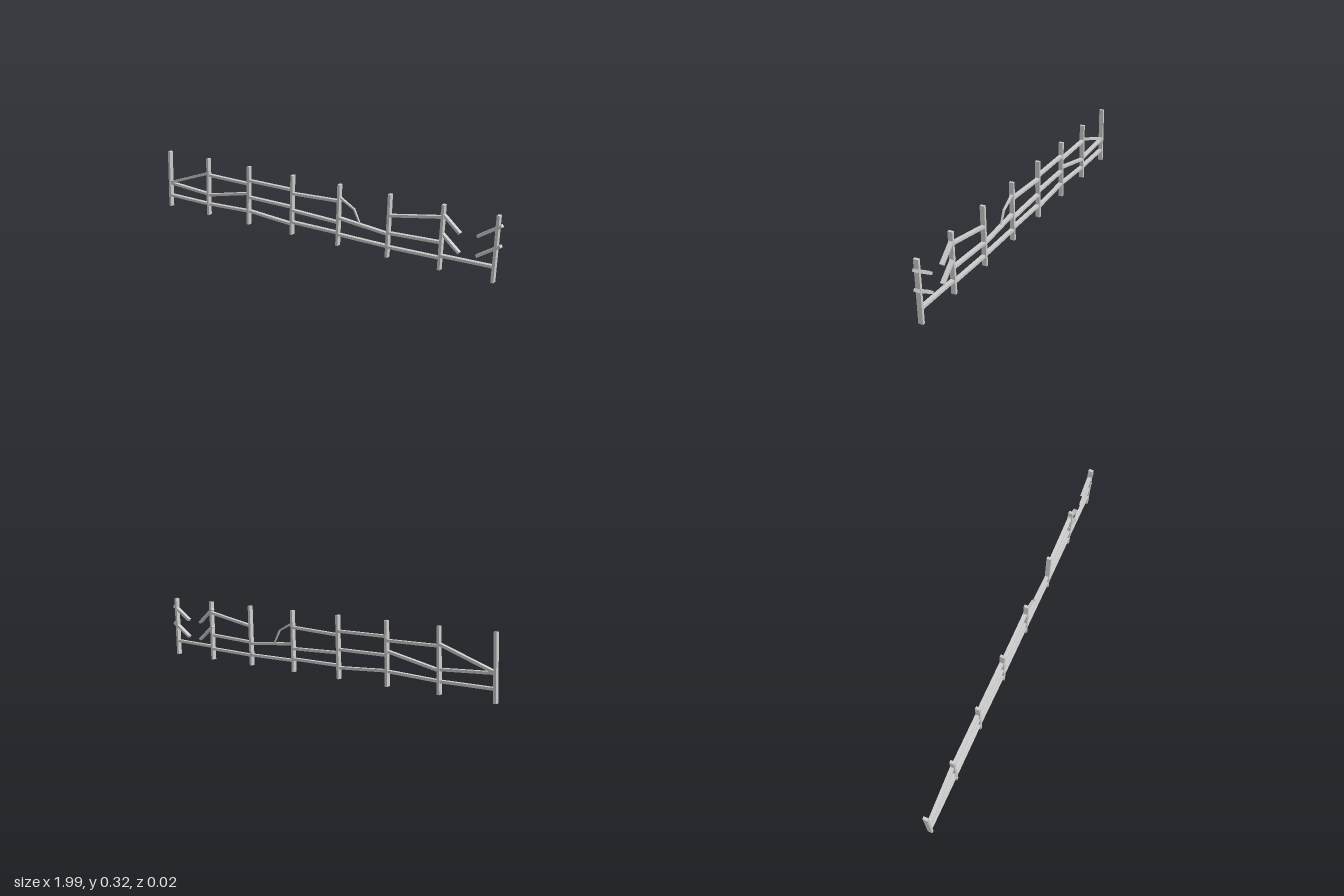
import * as THREE from 'three';

const material = new THREE.MeshStandardMaterial({ color: 0xcccccc, flatShading: true });

// Straight beam between two points in the fence plane; endScale narrows its far end.
function beam(name, [x1, y1], [x2, y2], thickness, depth, z = 0, endScale = 1) {
  const length = Math.hypot(x2 - x1, y2 - y1);
  const geometry = new THREE.BoxGeometry(length, thickness, depth);
  const p = geometry.attributes.position;
  for (let i = 0; i < p.count; i++) {
    if (p.getX(i) > 0) p.setXYZ(i, p.getX(i), p.getY(i) * endScale, p.getZ(i) * endScale);
  }
  geometry.computeVertexNormals();
  const mesh = new THREE.Mesh(geometry, material);
  mesh.name = name;
  mesh.position.set((x1 + x2) / 2, (y1 + y2) / 2, z);
  mesh.rotation.z = Math.atan2(y2 - y1, x2 - x1);
  return mesh;
}

export function createModel() {
  const fence = new THREE.Group();
  fence.name = 'brokenFence';

  // Slightly leaning posts
  const posts = [-0.985, -0.704, -0.424, -0.142, 0.141, 0.425, 0.705, 0.972];
  const lean = 0.005;
  posts.forEach((x, i) => {
    fence.add(beam('post' + (i + 1), [x - lean, 0], [x + lean, 0.317], 0.014, 0.024, 0.001));
  });

  // Whole rails: start and end height in each bay, null where the rail is broken
  const rows = [
    { name: 'bottomRail', z: 0.002, bays: [[0.064, 0.062], [0.062, 0.073], [0.075, 0.056], [0.067, 0.066], [0.058, 0.055], [0.053, 0.058], [0.07, 0.075]] },
    { name: 'middleRail', z: 0.001, bays: [[0.135, 0.117], [0.112, 0.17], [0.15, 0.147], [0.13, 0.12], [0.144, 0.117], [0.123, 0.134], null] },
    { name: 'topRail', z: -0.001, bays: [[0.137, 0.235], [0.225, 0.221], [0.24, 0.238], [0.219, 0.23], null, [0.21, 0.257], null] },
  ];
  for (const { name, z, bays } of rows) {
    bays.forEach((bay, i) => {
      if (!bay) return;
      const at = (k, y) => [posts[k] + lean * (y / 0.16 - 1), y];
      fence.add(beam(name + (i + 1), at(i, bay[0]), at(i + 1, bay[1]), 0.013, 0.021, z));
    });
  }

  // Snapped stubs in the last bay, drooping from either post
  for (const [level, dy] of [['middle', 0], ['top', 0.094]]) {
    fence.add(beam(level + 'StubLeft', [0.699, 0.184 + dy], [0.795, 0.101 + dy], 0.012, 0.021, -0.001));
    fence.add(beam(level + 'StubRight', [0.882, 0.107 + dy], [0.994, 0.177 + dy], 0.014, 0.022, 0.001));
  }

  // Thin splintered rail hanging from the middle post
  fence.add(beam('splinteredRail', [0.143, 0.252], [0.23, 0.204], 0.01, 0.014, 0, 0.75));
  fence.add(beam('hangingSplinter', [0.228, 0.207], [0.262, 0.14], 0.008, 0.011, 0, 0.7));

  return fence;
}
